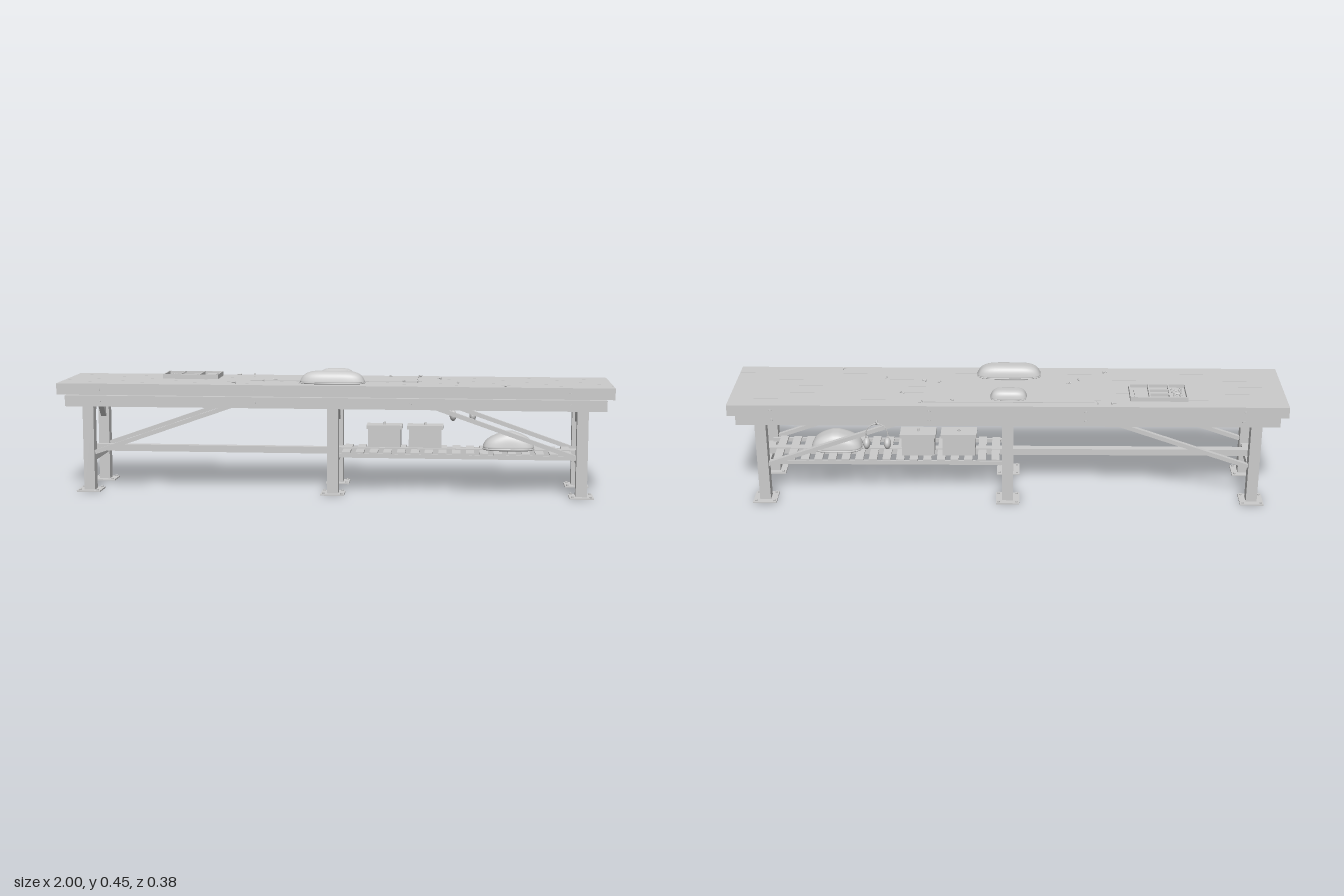
import * as THREE from 'three';

const grey = new THREE.MeshStandardMaterial({ color: 0xcccccc });
const CZ = 0.007; // middle line of the bench in z

export function createModel() {
  const model = new THREE.Group();

  const add = (name, geo, x = 0, y = 0, z = 0, parent = model) => {
    const m = new THREE.Mesh(geo, grey);
    m.name = name;
    m.position.set(x, y, z);
    parent.add(m);
    return m;
  };
  // box given by its limits
  const box = (name, x0, x1, y0, y1, z0, z1) =>
    add(name, new THREE.BoxGeometry(x1 - x0, y1 - y0, z1 - z0), (x0 + x1) / 2, (y0 + y1) / 2, (z0 + z1) / 2);

  // table top planks with narrow gaps
  const pitch = 0.0587;
  for (let i = 0; i < 6; i++) {
    const z = -0.169 + i * pitch;
    box('plank', -1, 1, 0.36, 0.401, z + 0.0005, z + pitch - 0.0005);
  }

  // apron rails and bolts on both long sides
  for (const s of [1, -1]) {
    const z = CZ + s * 0.142;
    box('apronRail', -0.975, 0.975, 0.315, 0.355, z - 0.0145, z + 0.0145);
    for (const x of [-0.845, -0.28, 0.28, 0.845]) {
      const bolt = (y, dz) => {
        add('boltWasher', new THREE.CylinderGeometry(0.006, 0.006, 0.003, 12), x, y, CZ + s * dz).rotation.x = Math.PI / 2;
        add('boltHead', new THREE.CylinderGeometry(0.004, 0.004, 0.007, 6), x, y, CZ + s * (dz + 0.002)).rotation.x = Math.PI / 2;
      };
      bolt(0.38, 0.177);
      bolt(0.335, 0.157);
    }
  }

  // three trestles: legs, feet, gussets, cross members
  const gusset = new THREE.Shape([[0, 0], [0.068, 0], [0, -0.075]].map(p => new THREE.Vector2(...p)));
  const gussetGeo = new THREE.ExtrudeGeometry(gusset, { depth: 0.02, bevelEnabled: false }).translate(0, 0, -0.01);
  for (const x of [-0.895, 0, 0.892]) {
    box('topCrossMember', x - 0.02, x + 0.02, 0.32, 0.36, CZ - 0.128, CZ + 0.128);
    box('lowCrossMember', x - 0.015, x + 0.015, 0.108, 0.13, CZ - 0.1, CZ + 0.1);
    for (const s of [1, -1]) {
      const z = CZ + s * 0.118;
      box('leg', x - 0.02, x + 0.02, 0.004, 0.32, z - 0.02, z + 0.02);
      box('footPlate', x - 0.043, x + 0.043, 0, 0.005, z - 0.043, z + 0.043);
      for (const dx of [-0.033, 0.033]) for (const dz of [-0.033, 0.033])
        add('footBolt', new THREE.CylinderGeometry(0.005, 0.005, 0.006, 6), x + dx, 0.007, z + dz);
      add('gusset', gussetGeo, x, 0.32, CZ + s * 0.098).rotation.y = s * Math.PI / 2;
    }
  }

  // long stretcher and sloping braces
  box('stretcher', -0.91, 0.91, 0.13, 0.155, CZ - 0.0135, CZ + 0.0135).scale.y = 0.98;
  for (const sx of [1, -1]) for (const sz of [1, -1]) {
    const dx = 0.51, dy = 0.178;
    const brace = add('brace', new THREE.BoxGeometry(Math.hypot(dx, dy), 0.015, 0.016), sx * 0.62, 0.231, CZ + sz * 0.118);
    brace.rotation.z = -sx * Math.atan2(dy, dx);
  }

  // slatted shelf
  for (const s of [1, -1])
    box('shelfRail', 0, 0.89, 0.13, 0.145, CZ + s * 0.094 - 0.004, CZ + s * 0.094 + 0.004);
  for (let i = 0; i < 17; i++) {
    const x = 0.045 + i * 0.05;
    box('shelfSlat', x - 0.015, x + 0.015, 0.145, 0.151, CZ - 0.097, CZ + 0.097);
  }

  // thin mat
  box('mat', -0.31, 0.3, 0.4, 0.4035, -0.135, 0.045);

  // soft bag: a squared-off sphere with a flat base, tapering upwards
  const bag = (name, x0, x1, y0, y1, z0, z1, rise) => {
    const w = (x1 - x0) / 2, h = y1 - y0, d = (z1 - z0) / 2;
    const shape = (grow, low, high, taper) => {
      const geo = new THREE.SphereGeometry(1, 48, 32);
      const p = geo.attributes.position, v = new THREE.Vector3();
      for (let i = 0; i < p.count; i++) {
        v.fromBufferAttribute(p, i);
        const k = 3.6;
        v.divideScalar((Math.abs(v.x) ** k + Math.abs(v.y) ** k + Math.abs(v.z) ** k) ** (1 / k));
        const up = Math.max(0, v.y);
        const t = 1 - taper * up;
        const y = v.y < 0 ? low + v.y * low : low + up * (high - low) * rise(v.x, v.z);
        p.setXYZ(i, v.x * w * t * grow, y, v.z * d * t * grow);
      }
      geo.computeVertexNormals();
      return geo;
    };
    const g = new THREE.Group();
    g.name = name;
    g.position.set((x0 + x1) / 2, y0, (z0 + z1) / 2);
    add(name + 'Body', shape(0.98, h * 0.22, h, 0.16), 0, 0, 0, g);
    add(name + 'Seam', shape(1, h * 0.12, h * 0.2, 0.02), 0, 0, 0, g);
    model.add(g);
  };
  const saddle = (x, z) => 0.95 + 0.05 * x * x - 0.04 * z;
  bag('largeBag', -0.122, 0.116, 0.401, 0.449, 0.066, 0.155, saddle);
  bag('smallBag', -0.07, 0.063, 0.401, 0.437, -0.125, -0.055, saddle);
  bag('shelfBag', 0.54, 0.73, 0.151, 0.222, -0.048, 0.062,
    x => 0.97 - 0.42 * Math.max(0, -x - 0.1) - 0.4 * Math.max(0, x - 0.2));

  // open parts tray with dividers
  const [tx0, tx1, tz0, tz1] = [-0.645, -0.438, -0.12, 0];
  box('trayBase', tx0, tx1, 0.401, 0.405, tz0, tz1);
  const t = 0.005;
  for (const x of [tx0, -0.583, -0.511, tx1 - t]) box('trayWall', x, x + t, 0.401, 0.418, tz0, tz1);
  for (const z of [tz0, tz1 - t]) box('trayWall', tx0, tx1, 0.401, 0.418, z, z + t);
  for (const z of [-0.082, -0.045]) box('trayDivider', -0.583, -0.511, 0.401, 0.416, z, z + t);
  box('trayBlock', -0.492, -0.455, 0.404, 0.412, -0.107, -0.022);

  // small bits in the tray and loose fasteners on the top
  const screw = (x, z, y, angle) => {
    const g = new THREE.Group();
    g.name = 'screw';
    g.position.set(x, y, z);
    g.rotation.y = angle;
    add('screwShank', new THREE.CylinderGeometry(0.0018, 0.0018, 0.015, 8), 0, 0, 0, g).rotation.z = Math.PI / 2;
    add('screwHead', new THREE.CylinderGeometry(0.004, 0.004, 0.003, 8), 0.008, 0, 0, g).rotation.z = Math.PI / 2;
    model.add(g);
  };
  for (let i = 0; i < 10; i++)
    screw(-0.625 + (i % 3) * 0.014, -0.105 + i * 0.0095, 0.408, i * 2.3);
  const loose = [[-0.38, -0.145], [-0.32, -0.14], [-0.22, 0.03], [-0.26, 0.06], [-0.36, 0.135], [0.2, -0.12],
    [0.31, -0.14], [0.38, -0.06], [0.25, 0.04], [0.31, 0.055], [0.45, 0.073], [0.61, 0.16]];
  loose.forEach(([x, z], i) => screw(x, z, 0.405, i * 1.7));

  // two lidded boxes on the shelf
  for (const x of [0.18, 0.33]) {
    box('storageBox', x - 0.06, x + 0.06, 0.151, 0.225, -0.057, 0.007);
    box('storageLid', x - 0.066, x + 0.066, 0.222, 0.236, -0.06, 0.01);
    add('lidKnob', new THREE.CylinderGeometry(0.004, 0.005, 0.01, 12), x, 0.241, -0.025);
  }

  // ear defenders hanging from a hook on the back rail
  const hook = new THREE.CatmullRomCurve3([[0.335, -0.148], [0.333, -0.16], [0.328, -0.166], [0.332, -0.171], [0.338, -0.172]]
    .map(([y, z]) => new THREE.Vector3(0.468, y, z)));
  add('hook', new THREE.TubeGeometry(hook, 20, 0.0025, 8));
  const band = new THREE.CatmullRomCurve3([[-0.037, 0.255], [-0.04, 0.285], [-0.03, 0.315], [0, 0.33], [0.03, 0.315], [0.04, 0.285], [0.037, 0.255]]
    .map(([x, y]) => new THREE.Vector3(0.468 + x, y, -0.165)));
  add('headBand', new THREE.TubeGeometry(band, 40, 0.002, 8));
  for (const s of [1, -1])
    add('earCup', new THREE.SphereGeometry(0.0215, 24, 16), 0.468 + s * 0.037, 0.253, -0.165).scale.x = 0.6;

  return model;
}
